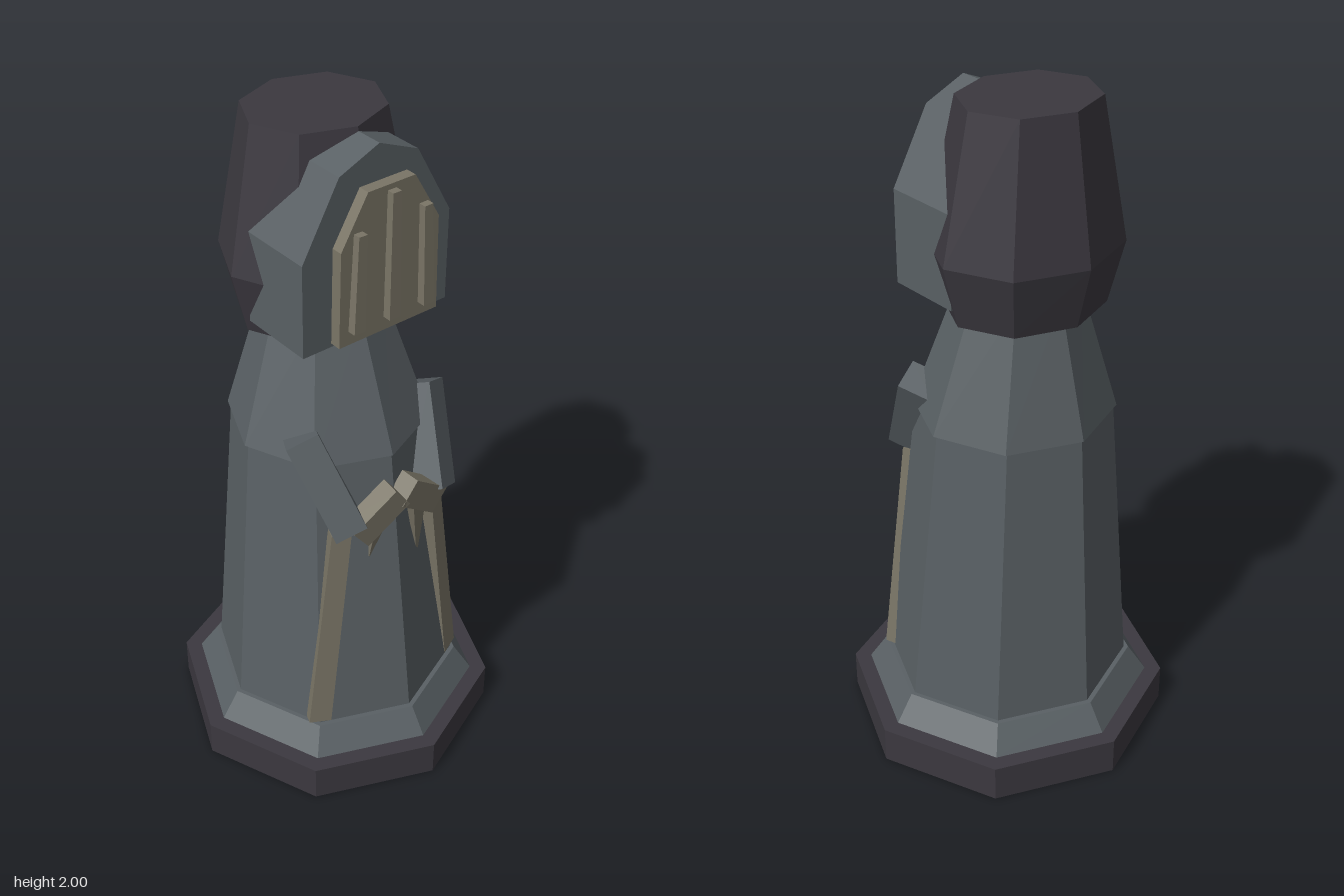
import * as THREE from 'three';

const mat = (name, color) => {
  const m = new THREE.MeshStandardMaterial({ color, flatShading: true });
  m.name = name;
  return m;
};
const V = (x, y, z) => new THREE.Vector3(x, y, z);

// Eight-sided loft through rings of [y, centreZ, radiusX, radiusZ], bottom to top
function loft(rings) {
  const n = rings.length - 1;
  const g = new THREE.CylinderGeometry(1, 1, 1, 8, n);
  const p = g.attributes.position;
  for (let i = 0; i < p.count; i++) {
    const [y, cz, rx, rz] = rings[Math.round((p.getY(i) + 0.5) * n)];
    p.setXYZ(i, p.getX(i) * rx, y, cz + p.getZ(i) * rz);
  }
  g.computeVertexNormals();
  return g;
}

// Box running from a to b, its front turned by yaw; taper scales the far end
function bar(a, b, width, depth, yaw = 0, taper = 1) {
  const len = a.distanceTo(b);
  const g = new THREE.BoxGeometry(width, len, depth);
  const p = g.attributes.position;
  for (let i = 0; i < p.count; i++) {
    if (p.getY(i) > 0) p.setXYZ(i, p.getX(i) * taper, p.getY(i), p.getZ(i) * taper);
  }
  const dir = b.clone().sub(a).normalize();
  const x = dir.clone().cross(V(Math.sin(yaw), 0, Math.cos(yaw))).normalize();
  const z = x.clone().cross(dir);
  g.applyMatrix4(new THREE.Matrix4().makeBasis(x, dir, z).setPosition(a.clone().add(b).multiplyScalar(0.5)));
  g.computeVertexNormals();
  return g;
}

// Mirrored outline from its right half (bottom to top), extruded between two depths
function plate(half, z0, z1) {
  const pts = half.map(([x, y]) => new THREE.Vector2(x, y));
  for (const [x, y] of [...half].reverse()) if (x > 0) pts.push(new THREE.Vector2(-x, y));
  const g = new THREE.ExtrudeGeometry(new THREE.Shape(pts), { depth: z1 - z0, bevelEnabled: false });
  return g.translate(0, 0, z0);
}

export function createModel() {
  const dark = mat('dark stone', 0x3b383f);
  const slate = mat('slate', 0x596064);
  const tan = mat('weathered tan', 0x7a7566);
  const model = new THREE.Group();
  model.name = 'hoodedStatue';
  const add = (name, geometry, material) => {
    const m = new THREE.Mesh(geometry, material);
    m.name = name;
    model.add(m);
  };

  // Stepped base
  add('base', loft([[0, 0, 0.485, 0.485], [0.115, 0, 0.485, 0.485]]), dark);
  add('plinth', loft([[0.115, 0, 0.435, 0.435], [0.197, 0, 0.38, 0.38]]), slate);

  // Robe and shoulders
  add('robe', loft([[0.197, 0, 0.367, 0.365], [1.09, -0.03, 0.28, 0.28]]), slate);
  add('shoulders', loft([[1.085, -0.03, 0.292, 0.287], [1.47, -0.052, 0.165, 0.165]]), slate);

  // Tall hood
  add('hood', loft([[1.42, -0.075, 0.235, 0.205], [1.6, -0.075, 0.28, 0.25], [2, -0.085, 0.2, 0.177]]), dark);

  // Helmet with a barred visor
  add('helmet', plate([[0.24, 1.46], [0.24, 1.73], [0.125, 1.935], [0, 1.988]], -0.055, 0.175), slate);
  add('visorBacking', plate([[0.13, 1.51], [0.13, 1.72], [0.06, 1.86]], 0.175, 0.192), dark);
  add('visor', plate([[0.163, 1.485], [0.158, 1.76], [0.075, 1.9]], 0.192, 0.225), tan);
  for (const [x, top] of [[-0.105, 1.8], [0, 1.885], [0.105, 1.815]]) {
    add('visorBar', bar(V(x * 1.1, 1.525, 0.235), V(x, top, 0.235), 0.036, 0.03, 0, 0.75), tan);
  }

  // Arms, clasped hands and hanging sashes on both sides
  for (const s of [1, -1]) {
    const side = s > 0 ? 'left' : 'right';
    add(side + 'Arm', bar(V(s * 0.15, 0.9, 0.255), V(s * 0.21, 1.165, 0.115), 0.095, 0.11, s * 0.4), slate);
    add(side + 'Hand', bar(V(s * 0.14, 0.885, 0.27), V(s * 0.01, 0.985, 0.29), 0.085, 0.06), tan);
    add(side + 'Sash', bar(V(s * 0.25, 0.2, 0.238), V(s * 0.165, 0.88, 0.232), 0.068, 0.045, s * 0.4, 0.85), tan);
  }

  // Pointed fingers below the hands
  add('leftFinger', bar(V(0.07, 0.91, 0.28), V(0.108, 0.66, 0.25), 0.045, 0.035, 0, 0.05), tan);
  add('rightFinger', bar(V(-0.07, 0.9, 0.28), V(-0.085, 0.77, 0.265), 0.04, 0.035, 0, 0.05), tan);

  return model;
}
